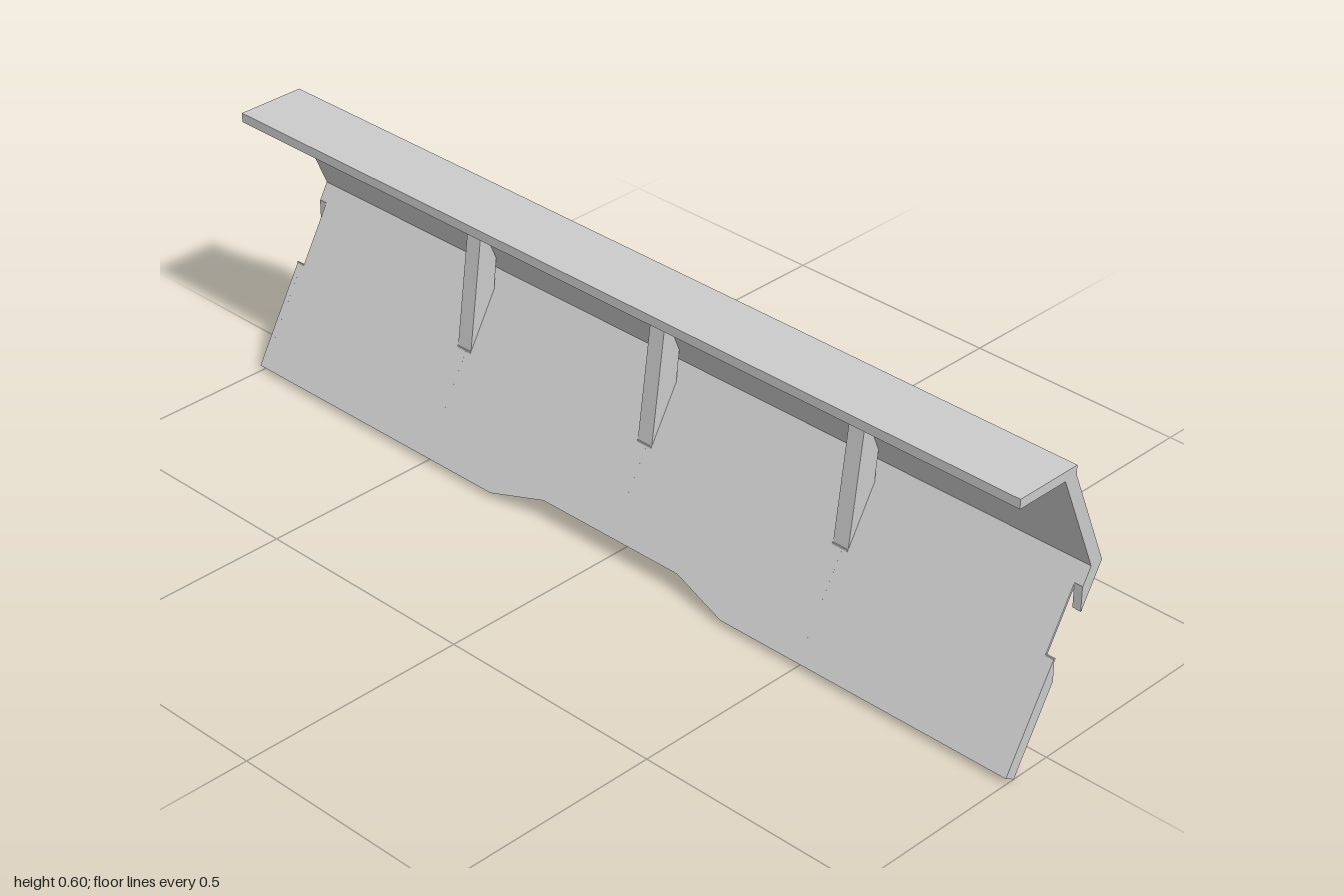
import * as THREE from 'three';

const LENGTH = 2;
const SLOT_WIDTH = 0.037;
const RIB_WIDTH = 0.012;

// Closed shape from a short list of points
const outline = (points) => new THREE.Shape(points.map(([x, y]) => new THREE.Vector2(x, y)));

export function createModel() {
  const model = new THREE.Group();
  const material = new THREE.MeshStandardMaterial({ color: 0xcccccc, side: THREE.DoubleSide });

  const add = (name, geometry) => {
    const mesh = new THREE.Mesh(geometry, material);
    mesh.name = name;
    model.add(mesh);
    return mesh;
  };

  // Cross-section in x/y, extruded along z about a centre
  const section = (name, points, width, z = 0) => {
    const geometry = new THREE.ExtrudeGeometry(outline(points), { depth: width, bevelEnabled: false });
    add(name, geometry.translate(0, 0, z - width / 2));
  };

  // Sloping frame of the lower half: x runs along the length, y up the slope, z inward
  const up = new THREE.Vector3(0.21, 0.365, 0).normalize();
  const along = new THREE.Vector3(0, 0, 1);
  const slope = new THREE.Matrix4()
    .makeBasis(along, up, along.clone().cross(up))
    .setPosition(-0.09, 0, 0);
  const sloped = (name, points, from, to) => {
    const geometry = new THREE.ExtrudeGeometry(outline(points), { depth: to - from, bevelEnabled: false });
    add(name, geometry.translate(0, 0, from).applyMatrix4(slope));
  };

  // Top flange and upper plate in one bent section
  section('upperPlate', [
    [-0.12, 0.58], [0, 0.58], [0.09, 0.365], [0.12, 0.365],
    [0.03, 0.58], [0.03, 0.6], [-0.12, 0.6],
  ], LENGTH);

  // Lower edge with the raised middle
  const lowerEdge = [[-1, 0], [-0.31, 0], [-0.18, 0.038], [0.18, 0.038], [0.31, 0], [1, 0]];

  // Thin recessed panel, notched at both ends
  const inset = 1 - SLOT_WIDTH / 2;
  sloped('lowerPanel', [
    ...lowerEdge,
    [1, 0.231], [inset, 0.231], [inset, 0.366], [1, 0.366], [1, 0.408],
    [-1, 0.408], [-1, 0.366], [-inset, 0.366], [-inset, 0.231], [-1, 0.231],
  ], 0.021, 0.026);

  // Rim following the lower edge
  const rimTop = lowerEdge.map(([z, s]) => [z, s + 0.01]).reverse();
  sloped('bottomRim', [...lowerEdge, ...rimTop], 0, 0.026);

  // Ribs with a gap for the gussets; the end ribs sit flush with the ends
  for (const station of [-1, -0.5, 0, 0.5, 1]) {
    const end = Math.abs(station) === 1;
    const ribZ = end ? station * (1 - RIB_WIDTH / 2) : station;
    const lift = station === 0 ? 0.038 : 0;
    const low = lift * up.x;
    const high = lift * up.y;
    section('lowerRib', [
      [-0.09 + low, high], [0.003, 0.162], [0.003, 0.214], [-0.1125 + low, 0.013 + high],
    ], RIB_WIDTH, ribZ);
    section('upperRib', [[0.07, 0.278], [0.12, 0.365], [0.09, 0.365], [0.07, 0.33]], RIB_WIDTH, ribZ);

    // Upright walls closing the gap above and below
    const wallWidth = end ? SLOT_WIDTH / 2 : SLOT_WIDTH;
    const wallZ = end ? station * (1 - SLOT_WIDTH / 4) : station;
    for (const [x, y] of [[0.002, 0.188], [0.071, 0.305]]) {
      add('slotWall', new THREE.BoxGeometry(0.003, 0.052, wallWidth).translate(x, y, wallZ));
    }

    // Gusset bracing the upper plate against the panel
    if (!end) {
      section('gusset', [
        [0.003, 0.204], [0.07, 0.32], [0.07, 0.335], [0.077, 0.396], [0.04, 0.484], [0.003, 0.214],
      ], SLOT_WIDTH, station);
      section('ribBridge', [[0.003, 0.162], [0.07, 0.278], [0.07, 0.33], [0.003, 0.214]], RIB_WIDTH, station);
    }
  }

  return model;
}
